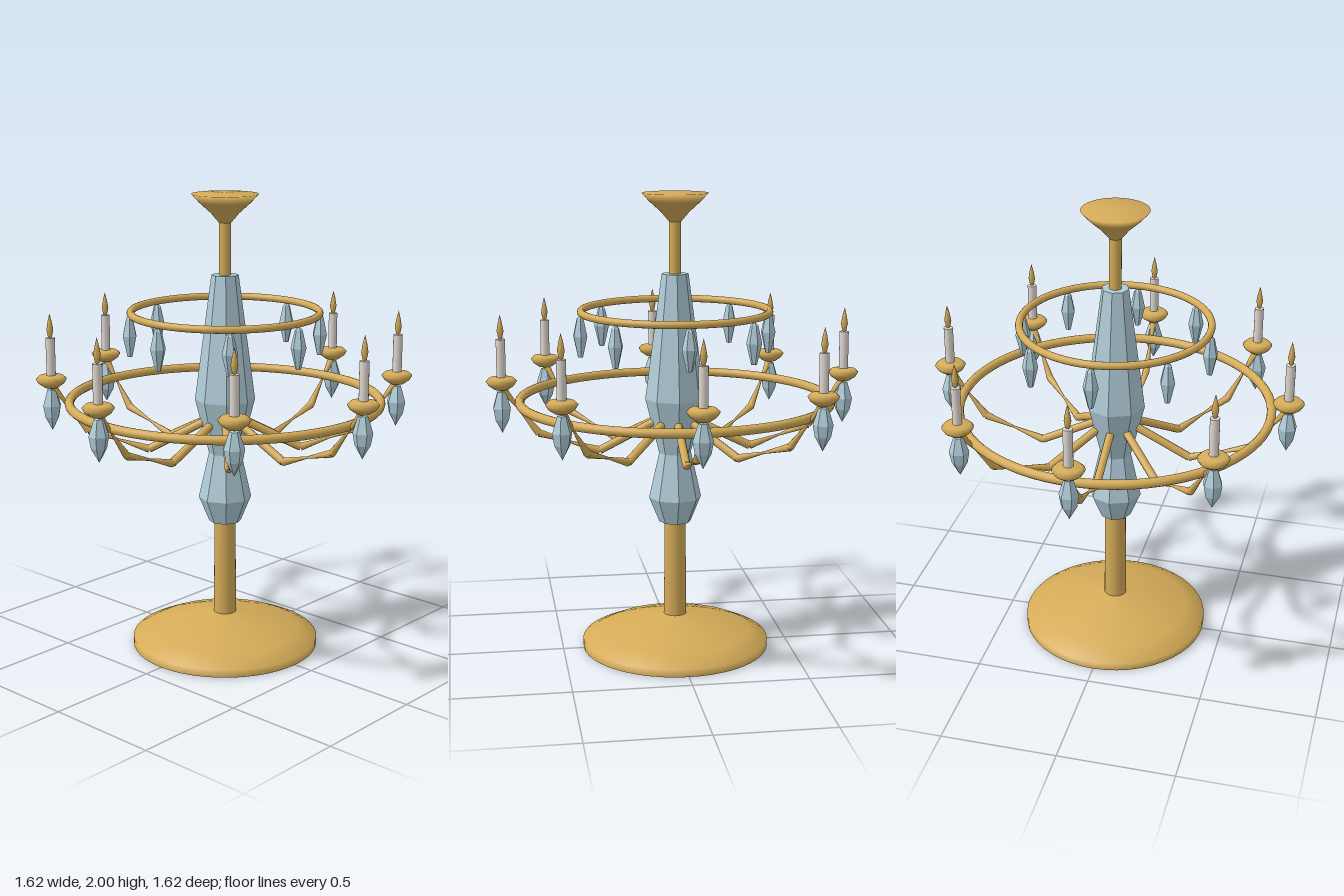
import * as THREE from 'three';

const material = (name, color, flatShading = false) => {
  const m = new THREE.MeshStandardMaterial({ color, flatShading });
  m.name = name;
  return m;
};

export function createModel() {
  const gold = material('gold', 0xd4ab58);
  const glass = material('paleBlueGlass', 0xb0ccd8, true);
  const wax = material('candleWax', 0xe0d8d0);
  const model = new THREE.Group();
  model.name = 'candelabra';

  const add = (parent, name, geometry, mat, x = 0, y = 0, z = 0) => {
    const mesh = new THREE.Mesh(geometry, mat);
    mesh.name = name;
    mesh.position.set(x, y, z);
    parent.add(mesh);
    return mesh;
  };
  // Profiles are [radius, height] pairs from bottom to top
  const lathe = (points, sides) =>
    new THREE.LatheGeometry(points.map(([r, y]) => new THREE.Vector2(r, y)), sides);

  // Round foot and lower stem
  add(model, 'footUnderside', lathe([[0, 0], [0.41, 0]], 48), gold);
  add(model, 'foot', lathe([[0.41, 0], [0.41, 0.035], [0.33, 0.072], [0.23, 0.103],
    [0.14, 0.126], [0.05, 0.145]], 48), gold);
  add(model, 'lowerStem', new THREE.CylinderGeometry(0.046, 0.05, 0.45, 24), gold, 0, 0.36);

  // Faceted glass body
  add(model, 'glassBody', lathe([[0, 0.57], [0.07, 0.57], [0.115, 0.68], [0.07, 0.88],
    [0.13, 1.12], [0.058, 1.66], [0, 1.66]], 8), glass);

  // Upper stem and flared cap
  add(model, 'upperStem', new THREE.CylinderGeometry(0.026, 0.026, 0.26, 20), gold, 0, 1.77);
  add(model, 'cap', lathe([[0.026, 1.88], [0.06, 1.92], [0.11, 1.965], [0.142, 2], [0, 2]], 40), gold);

  // Two hoops
  const hoop = (name, radius, tube, y) => {
    add(model, name, new THREE.TorusGeometry(radius, tube, 12, 72), gold, 0, y).rotation.x = Math.PI / 2;
  };
  hoop('lowerHoop', 0.67, 0.02, 1.115);
  hoop('upperHoop', 0.403, 0.016, 1.5);

  // Arm: straight rods that pinch between the bends, [x, y, radius]
  const armStations = [[0.07, 1.03, 0.018], [0.33, 0.9, 0.018], [0.46, 0.943, 0.005],
    [0.59, 0.985, 0.017], [0.67, 1.09, 0.005], [0.745, 1.19, 0.017]];
  const up = new THREE.Vector3(0, 1, 0);
  const rods = armStations.slice(1).map(([x1, y1, r1], i) => {
    const [x0, y0, r0] = armStations[i];
    const dir = new THREE.Vector3(x1 - x0, y1 - y0, 0);
    const g = new THREE.CylinderGeometry(r1, r0, dir.length(), 8);
    g.applyQuaternion(new THREE.Quaternion().setFromUnitVectors(up, dir.normalize()));
    return g.translate((x0 + x1) / 2, (y0 + y1) / 2, 0);
  });

  const cup = lathe([[0, 1.175], [0.03, 1.18], [0.055, 1.198], [0.066, 1.216],
    [0.052, 1.23], [0, 1.235]], 24);
  const candle = new THREE.CylinderGeometry(0.02, 0.02, 0.17, 14);
  const flame = lathe([[0, 1.39], [0.009, 1.4], [0.015, 1.43], [0.009, 1.465], [0, 1.5]], 10);
  const largeCrystal = lathe([[0, 1.175], [0.02, 1.17], [0.042, 1.1], [0.033, 1.05], [0, 0.99]].reverse(), 6);
  const smallCrystal = lathe([[0, 1.31], [0.012, 1.31], [0.033, 1.4], [0.016, 1.475], [0, 1.49]], 6);

  // Eight identical arms with candle, cup and drops
  for (let i = 0; i < 8; i++) {
    const branch = new THREE.Group();
    branch.name = `branch${i + 1}`;
    branch.rotation.y = i * Math.PI / 4;
    model.add(branch);
    rods.forEach((rod, k) => add(branch, `armSegment${k + 1}`, rod, gold));
    add(branch, 'candleCup', cup, gold, 0.745);
    add(branch, 'candle', candle, wax, 0.745, 1.31);
    add(branch, 'flame', flame, gold, 0.745);
    add(branch, 'lowerCrystal', largeCrystal, glass, 0.745);
    add(branch, 'upperCrystal', smallCrystal, glass, 0.407);
  }
  return model;
}
